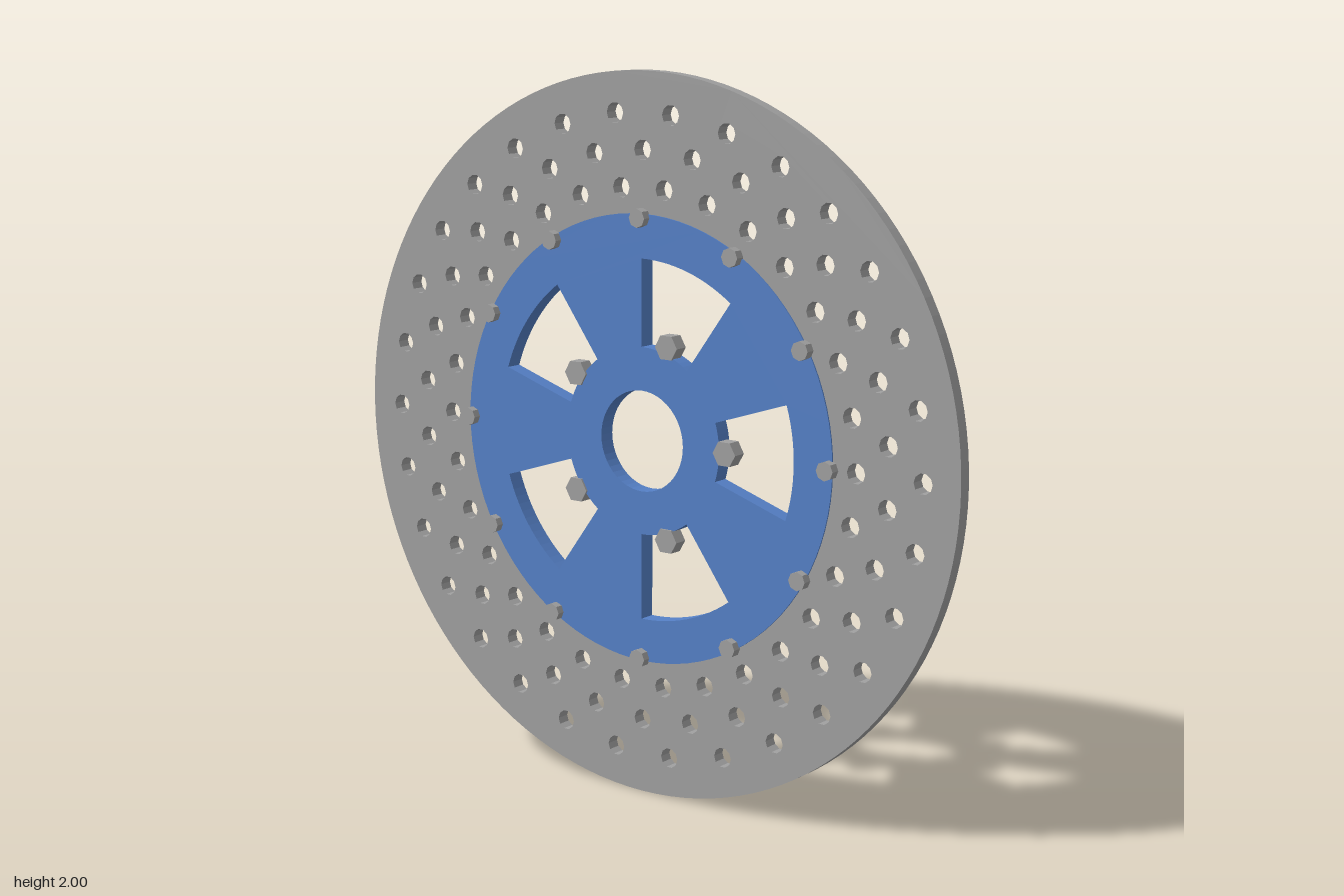
import * as THREE from 'three';

const TAU = Math.PI * 2;

// Points along an arc about (cx, cy)
function arc(r, a0, a1, n, cx = 0, cy = 0) {
  const pts = [];
  for (let i = 0; i <= n; i++) {
    const a = a0 + ((a1 - a0) * i) / n;
    pts.push(new THREE.Vector2(cx + r * Math.cos(a), cy + r * Math.sin(a)));
  }
  return pts;
}
const circle = (r, n, cx = 0, cy = 0) => arc(r, 0, TAU * (1 - 1 / n), n - 1, cx, cy);

// Flat plate with holes, from z0 to z1
function plate(name, outline, holes, z0, z1, material) {
  const shape = new THREE.Shape(outline);
  shape.holes = holes.map((pts) => new THREE.Path(pts));
  const geo = new THREE.ExtrudeGeometry(shape, { depth: z1 - z0, bevelEnabled: false });
  geo.translate(0, 0, z0);
  const mesh = new THREE.Mesh(geo, material);
  mesh.name = name;
  return mesh;
}

// Ring of studs pointing along z
function studs(name, count, ringRadius, r, sides, z0, z1, material) {
  const group = new THREE.Group();
  group.name = name + 's';
  const geo = new THREE.CylinderGeometry(r, r, z1 - z0, sides).toNonIndexed();
  geo.rotateY(Math.PI / 2); // corner towards +x
  geo.rotateX(Math.PI / 2);
  geo.computeVertexNormals();
  for (let i = 0; i < count; i++) {
    const a = (i / count) * TAU;
    const mesh = new THREE.Mesh(geo, material);
    mesh.name = name;
    mesh.position.set(ringRadius * Math.cos(a), ringRadius * Math.sin(a), (z0 + z1) / 2);
    group.add(mesh);
  }
  return group;
}

export function createModel() {
  const steel = new THREE.MeshStandardMaterial({ color: 0xa0a0a0 });
  steel.name = 'steel grey';
  const blue = new THREE.MeshStandardMaterial({ color: 0x5580c6 });
  blue.name = 'anodised blue';

  const model = new THREE.Group();
  model.name = 'brakeDisc';
  const disc = new THREE.Group();
  disc.name = 'discAssembly';
  disc.position.y = 1;
  model.add(disc);

  // Friction ring with three staggered rows of drilled holes
  const drilled = [circle(0.61, 96)];
  for (const [radius, offset] of [[0.69, 0], [0.79, 0.5], [0.89, 0]]) {
    for (let i = 0; i < 30; i++) {
      const a = ((i + offset) / 30) * TAU;
      drilled.push(circle(0.028, 10, radius * Math.cos(a), radius * Math.sin(a)));
    }
  }
  disc.add(plate('frictionRing', circle(1, 128), drilled, -0.03, 0.008, steel));

  // Carrier with centre bore and five windows
  const openings = [circle(0.14, 48)];
  const half = Math.PI / 10;
  for (let i = 0; i < 5; i++) {
    const a = (i / 5) * TAU;
    openings.push([...arc(0.26, a - half, a + half, 10), ...arc(0.5, a + half, a - half, 14)]);
  }
  disc.add(plate('carrier', circle(0.62, 96), openings, -0.036, 0.012, blue));

  // Fasteners: rivets around the carrier rim, hex bolts near the bore
  disc.add(studs('rivet', 12, 0.61, 0.026, 8, 0, 0.035, steel));
  disc.add(studs('hubBolt', 5, 0.28, 0.037, 6, -0.022, 0.018, steel));

  return model;
}
